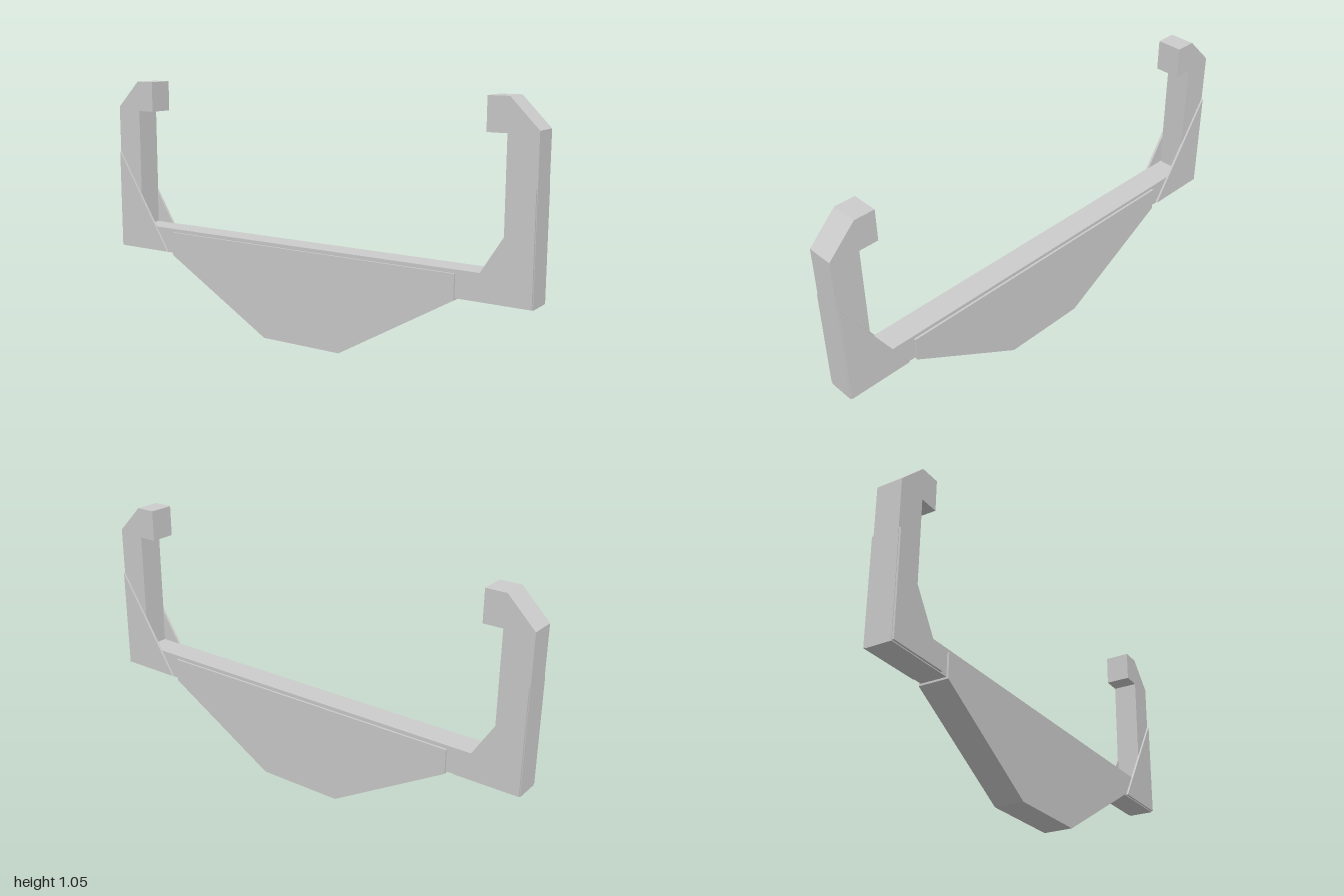
import * as THREE from 'three';

const material = new THREE.MeshStandardMaterial({ color: 0xcccccc, flatShading: true });

// Flat outline extruded from z0 to z1
function slab(name, points, z0, z1) {
  const shape = new THREE.Shape(points.map(([x, y]) => new THREE.Vector2(x, y)));
  const geometry = new THREE.ExtrudeGeometry(shape, { depth: z1 - z0, bevelEnabled: false });
  geometry.translate(0, 0, z0);
  const mesh = new THREE.Mesh(geometry, material);
  mesh.name = name;
  return mesh;
}

const mirrorX = (points) => points.map(([x, y]) => [-x, y]).reverse();

export function createModel() {
  const group = new THREE.Group();
  group.name = 'hookedBracket';
  const frameZ = 0.054, plateZ = 0.0625;

  // Crossbar with an upright and inward hook at each end
  const half = [
    [1, 0.303], [1, 0.94], [0.885, 1.055], [0.8, 1.055],
    [0.8, 0.925], [0.88, 0.925], [0.88, 0.412],
  ];
  group.add(slab('frame', [...half, ...mirrorX(half)], -frameZ, frameZ));

  // Thick tapered belly below the crossbar
  const belly = [[0.187, 0], [0.692, 0.295], [0.692, 0.397]];
  group.add(slab('belly', [...belly, ...mirrorX(belly)], -plateZ, plateZ));

  // Thin triangular gussets on the front and back of both corners
  const gusset = [[0.727, 0.307], [0.998, 0.307], [0.998, 0.738]];
  for (const [side, points] of [['left', gusset], ['right', mirrorX(gusset)]]) {
    group.add(slab(side + 'FrontGusset', points, frameZ - 0.002, plateZ));
    group.add(slab(side + 'BackGusset', points, -plateZ, -frameZ + 0.002));
  }
  return group;
}
